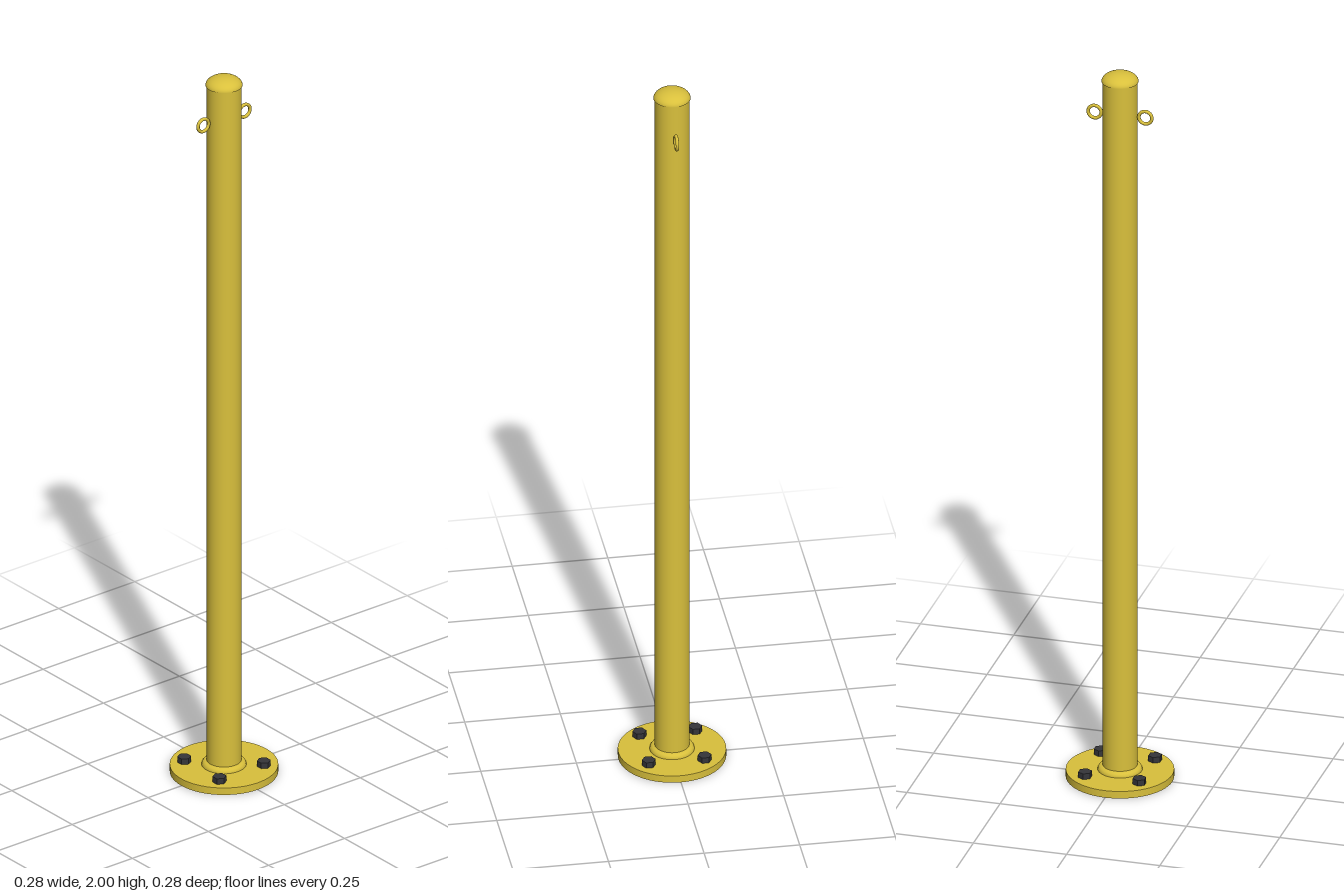
import * as THREE from 'three';

export function createModel() {
  const group = new THREE.Group();
  const yellow = new THREE.MeshStandardMaterial({ color: 0xd9c03c });
  yellow.name = 'yellow paint';
  const dark = new THREE.MeshStandardMaterial({ color: 0x35353a });
  dark.name = 'dark steel';
  dark.flatShading = true;

  const add = (name, geometry, material, x, y, z) => {
    const mesh = new THREE.Mesh(geometry, material);
    mesh.name = name;
    mesh.position.set(x, y, z);
    group.add(mesh);
    return mesh;
  };

  // Round floor plate
  add('basePlate', new THREE.CylinderGeometry(0.14, 0.14, 0.02, 64), yellow, 0, 0.01, 0);

  // Weld bead where the post meets the plate
  const weld = new THREE.TorusGeometry(0.045, 0.013, 16, 48).rotateX(Math.PI / 2);
  add('weldCollar', weld, yellow, 0, 0.02, 0);

  // Post
  add('post', new THREE.CylinderGeometry(0.045, 0.045, 1.957, 48), yellow, 0, 0.9985, 0);

  // Flattened dome cap, closed underneath
  const dome = new THREE.SphereGeometry(0.048, 48, 16, 0, Math.PI * 2, 0, Math.PI / 2).scale(1, 0.025 / 0.048, 1);
  add('capDome', dome, yellow, 0, 1.975, 0);
  add('capUnderside', new THREE.CircleGeometry(0.048, 48).rotateX(Math.PI / 2), yellow, 0, 1.975, 0);

  // Chain eyes on both sides
  const eye = new THREE.TorusGeometry(0.0175, 0.0045, 12, 32);
  // Hex bolts at the corners of a square
  const bolt = new THREE.CylinderGeometry(0.018, 0.018, 0.016, 6);
  for (const sx of [-1, 1]) {
    add(sx > 0 ? 'leftChainEye' : 'rightChainEye', eye, yellow, sx * 0.068, 1.88, 0);
    for (const sz of [-1, 1]) add('hexBolt', bolt, dark, sx * 0.073, 0.028, sz * 0.073);
  }
  return group;
}
